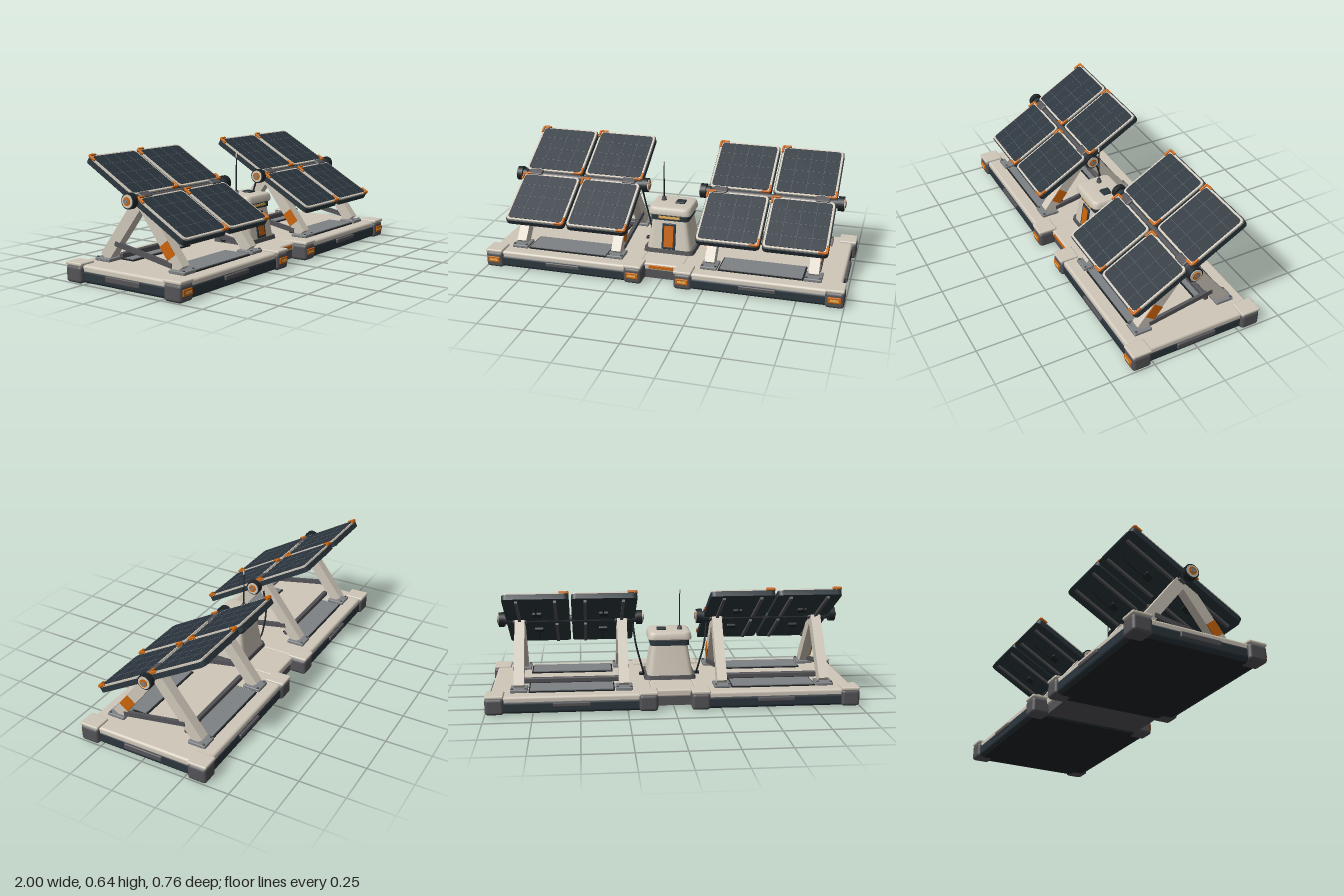
import * as THREE from 'three';
import { RoundedBoxGeometry } from 'three/addons/geometries/RoundedBoxGeometry.js';
import { toCreasedNormals } from 'three/addons/utils/BufferGeometryUtils.js';

const paint = (name, color) => {
  const m = new THREE.MeshStandardMaterial({ color });
  m.name = name;
  return m;
};
const cream = paint('warm cream', 0xcfc7b9);
const navy = paint('dark slate', 0x2b363d);
const cell = paint('solar cell', 0x2a343c);
const line = paint('cell line', 0x59636a);
const grey = paint('dark grey', 0x545357);
const steel = paint('steel grey', 0x7f8285);
const black = paint('black rubber', 0x1f2427);
const orange = paint('orange', 0xcb650c);
const amber = paint('amber light', 0xf0b95c);

function add(parent, name, geometry, material, x = 0, y = 0, z = 0) {
  const mesh = new THREE.Mesh(geometry, material);
  mesh.name = name;
  mesh.position.set(x, y, z);
  parent.add(mesh);
  return mesh;
}
const box = (w, h, d) => new THREE.BoxGeometry(w, h, d);
const rbox = (w, h, d, r = 0.01) => new RoundedBoxGeometry(w, h, d, 3, r);

// Plate with rounded corners lying flat, base at y = 0; the top may shrink
function slab(w, h, d, r, topScale = 1, bevel = 0) {
  const a = w / 2 - bevel, b = d / 2 - bevel, s = new THREE.Shape();
  s.moveTo(-a + r, -b).lineTo(a - r, -b).quadraticCurveTo(a, -b, a, -b + r);
  s.lineTo(a, b - r).quadraticCurveTo(a, b, a - r, b);
  s.lineTo(-a + r, b).quadraticCurveTo(-a, b, -a, b - r);
  s.lineTo(-a, -b + r).quadraticCurveTo(-a, -b, -a + r, -b);
  const g = new THREE.ExtrudeGeometry(s, {
    depth: h - 2 * bevel, curveSegments: 5, bevelEnabled: bevel > 0,
    bevelSize: bevel, bevelThickness: bevel, bevelSegments: 3,
  });
  g.rotateX(-Math.PI / 2).translate(0, bevel, 0);
  const p = g.attributes.position;
  for (let i = 0; i < p.count; i++) {
    const k = 1 + (topScale - 1) * p.getY(i) / h;
    p.setXYZ(i, p.getX(i) * k, p.getY(i), p.getZ(i) * k);
  }
  g.computeVertexNormals();
  return toCreasedNormals(g, 0.6);
}

// Bar between two points given as [z, y] in the plane of constant x
function strut(parent, name, from, to, x, width, depth, material) {
  const dz = to[0] - from[0], dy = to[1] - from[1];
  const m = add(parent, name, box(width, Math.hypot(dz, dy), depth), material,
    x, (from[1] + to[1]) / 2, (from[0] + to[0]) / 2);
  m.rotation.x = Math.atan2(dz, dy);
  return m;
}

function tube(parent, name, points, radius, material) {
  const curve = new THREE.CatmullRomCurve3(points.map((p) => new THREE.Vector3(...p)));
  return add(parent, name, new THREE.TubeGeometry(curve, 16, radius, 8), material);
}

// One floating deck with bumpers and corner blocks
function buildDeck(parent, cx) {
  const g = new THREE.Group();
  g.name = 'deck';
  g.position.x = cx;
  parent.add(g);
  add(g, 'hull', rbox(0.87, 0.068, 0.72, 0.018), navy, 0, 0.04, 0);
  add(g, 'hullBottom', box(0.82, 0.004, 0.67), black, 0, 0.006, 0);
  add(g, 'deckPlate', rbox(0.865, 0.042, 0.71, 0.014), cream, 0, 0.077, 0);
  for (const s of [-1, 1]) {
    add(g, 'longBumper', rbox(0.2, 0.024, 0.02, 0.006), grey, 0, 0.054, s * 0.361);
    add(g, 'endBumper', rbox(0.02, 0.032, 0.225, 0.006), grey, s * 0.436, 0.05, 0);
    for (const t of [-1, 1]) {
      const x = s * 0.405 , z = t * 0.32;
      add(g, 'cornerBlock', rbox(0.1, 0.09, 0.106, 0.018), grey, x, 0.048, z);
      add(g, 'cornerCap', rbox(0.098, 0.018, 0.108, 0.007), cream, x, 0.1, z);
    }
    add(g, 'cornerLamp', rbox(0.07, 0.034, 0.009, 0.004), orange, s * 0.405, 0.052, 0.375);
    add(g, 'lampStrip', box(0.045, 0.012, 0.003), amber, s * 0.405, 0.052, 0.38);
    // Shallow trays between the feet
    add(g, 'trayRim', box(0.46, 0.008, 0.165), black, 0, 0.1, s * 0.2);
    add(g, 'tray', box(0.445, 0.006, 0.15), steel, 0, 0.106, s * 0.2);
  }
  return g;
}

// One solar module, lying flat in x-z, outward normal +y
function buildPanel(parent, x, z) {
  const g = new THREE.Group();
  g.name = 'solarPanel';
  g.position.set(x, 0, z);
  parent.add(g);
  const w = 0.346, d = 0.35;
  add(g, 'backShell', slab(w, 0.028, d, 0.028), navy, 0, -0.014, 0);
  add(g, 'rim', slab(w - 0.008, 0.009, d - 0.012, 0.026), cream, 0, 0.014, 0);
  add(g, 'cells', slab(w - 0.03, 0.003, d - 0.034, 0.02), cell, 0, 0.022, 0);
  for (const k of [-1, 0, 1]) {
    add(g, 'cellLine', box(0.0018, 0.001, d - 0.04), line, k * 0.08, 0.0255, 0);
    add(g, 'cellLine', box(w - 0.036, 0.001, 0.0018), line, 0, 0.0255, k * 0.085);
  }
  // Orange clips on two opposite corners
  for (const s of [-1, 1]) {
    const cx = s * (w / 2 - 0.003), cz = s * (d / 2 - 0.006);
    add(g, 'cornerClip', rbox(0.046, 0.014, 0.012, 0.004), orange, cx - s * 0.025, 0.024, cz);
    add(g, 'cornerClip', rbox(0.012, 0.014, 0.046, 0.004), orange, cx - s * 0.002, 0.024, cz - s * 0.022);
  }
  // Ribs, junction box and lead underneath
  for (const s of [-1, 1]) add(g, 'backRib', box(0.016, 0.013, 0.3), grey, s * 0.1, -0.02, 0);
  const inward = -Math.sign(z);
  add(g, 'junctionBox', rbox(0.05, 0.016, 0.045, 0.004), black, 0, -0.022, inward * 0.055);
  tube(g, 'panelLead', [[0, -0.03, inward * 0.05], [0.004, -0.036, -inward * 0.02],
    [0, -0.034, -inward * 0.1]], 0.004, black);
}

// Tilted array with two A-frames
function buildArray(parent, cx) {
  const g = new THREE.Group();
  g.name = 'solarArray';
  g.position.x = cx;
  parent.add(g);
  const tilt = new THREE.Group();
  tilt.name = 'tiltingPanels';
  tilt.position.y = 0.44;
  tilt.rotation.x = Math.PI / 6;
  g.add(tilt);
  for (const x of [-0.179, 0.179]) for (const z of [-0.184, 0.184]) buildPanel(tilt, x, z);
  const along = (r, l) => new THREE.CylinderGeometry(r, r, l, 28).rotateZ(Math.PI / 2);
  add(g, 'torqueTube', along(0.017, 0.74), grey, 0, 0.44, 0);
  for (const s of [-1, 1]) {
    const x = s * 0.28;
    add(tilt, 'tubeClamp', rbox(0.078, 0.055, 0.042, 0.008), grey, x, 0.002, 0);
    // Axle hub
    add(g, 'hub', along(0.04, 0.032), black, s * 0.377, 0.44, 0);
    add(g, 'hubCollar', along(0.028, 0.026), navy, s * 0.35, 0.44, 0);
    add(g, 'hubRing', along(0.033, 0.006), cream, s * 0.394, 0.44, 0);
    add(g, 'hubDisc', along(0.021, 0.006), orange, s * 0.398, 0.44, 0);
    add(g, 'hubPin', along(0.012, 0.008), steel, s * 0.4, 0.44, 0);
    // Legs, feet and brace
    for (const t of [-1, 1]) {
      strut(g, 'leg', [t * 0.243, 0.118], [t * 0.004, 0.43], x, 0.054, 0.062, cream);
      add(g, 'foot', rbox(0.092, 0.018, 0.1, 0.005), steel, x, 0.109, t * 0.243);
      for (const k of [-1, 1])
        add(g, 'footBolt', new THREE.CylinderGeometry(0.007, 0.007, 0.006, 6), grey, x + k * 0.036, 0.12, t * 0.28);
    }
    strut(g, 'brace', [0.2, 0.132], [-0.168, 0.198], x + s * 0.022, 0.018, 0.025, grey);
    strut(g, 'legMarker', [0.199, 0.1735], [0.151, 0.2365], x + s * 0.028, 0.006, 0.06, orange);
  }
  add(g, 'crossRail', rbox(0.56, 0.03, 0.025, 0.007), grey, 0, 0.133, -0.157);
}

// Control housing between the two decks
function buildHousing(parent) {
  const g = new THREE.Group();
  g.name = 'controlHousing';
  g.position.z = 0.025;
  parent.add(g);
  add(g, 'skirt', slab(0.29, 0.022, 0.245, 0.035, 0.97), grey, 0, 0.1, 0);
  add(g, 'body', slab(0.256, 0.17, 0.225, 0.035, 0.78), cream, 0, 0.12, 0);
  add(g, 'neck', slab(0.218, 0.034, 0.19, 0.03), navy, 0, 0.288, 0);
  add(g, 'cap', slab(0.25, 0.046, 0.22, 0.03, 0.92, 0.012), cream, 0, 0.319, 0);
  add(g, 'statusLight', box(0.12, 0.014, 0.005), amber, 0, 0.306, 0.096);
  // Front hatch follows the slope of the body
  const hatch = new THREE.Group();
  hatch.name = 'hatch';
  hatch.position.set(0, 0.197, 0.103);
  hatch.rotation.x = -0.145;
  g.add(hatch);
  add(hatch, 'hatchFrame', rbox(0.078, 0.148, 0.009, 0.004), navy);
  add(hatch, 'hatchPanel', box(0.052, 0.122, 0.006), orange, 0, 0, 0.004);
  // Roof fittings
  add(g, 'roofSensor', rbox(0.052, 0.012, 0.052, 0.004), navy, 0.042, 0.368, -0.005);
  add(g, 'antennaBase', new THREE.CylinderGeometry(0.011, 0.015, 0.022, 16), grey, -0.06, 0.374, -0.017);
  add(g, 'antenna', new THREE.CylinderGeometry(0.003, 0.004, 0.2, 10), black, -0.06, 0.475, -0.017);
  add(g, 'antennaTip', new THREE.CapsuleGeometry(0.0045, 0.018, 4, 10), cream, -0.06, 0.58, -0.017);
}

export function createModel() {
  const model = new THREE.Group();
  model.name = 'floatingSolarStation';
  for (const s of [-1, 1]) {
    buildDeck(model, s * 0.545);
    buildArray(model, s * 0.545);
    // Cable from the axle down to the deck
    tube(model, 'powerCable', [[s * 0.205, 0.41, -0.04], [s * 0.19, 0.3, -0.066],
      [s * 0.165, 0.2, -0.066], [s * 0.148, 0.13, -0.05], [s * 0.15, 0.118, -0.012]], 0.005, black);
    add(model, 'cablePlug', rbox(0.03, 0.016, 0.024, 0.005), black, s * 0.155, 0.118, -0.01);
  }
  // Bridge joining the decks
  add(model, 'bridgeHull', box(0.24, 0.055, 0.56), grey, 0, 0.036, 0);
  add(model, 'bridgePlate', rbox(0.24, 0.04, 0.58, 0.01), cream, 0, 0.078, 0);
  add(model, 'bridgeMarker', rbox(0.14, 0.02, 0.009, 0.003), orange, 0, 0.079, 0.29);
  buildHousing(model);
  return model;
}
